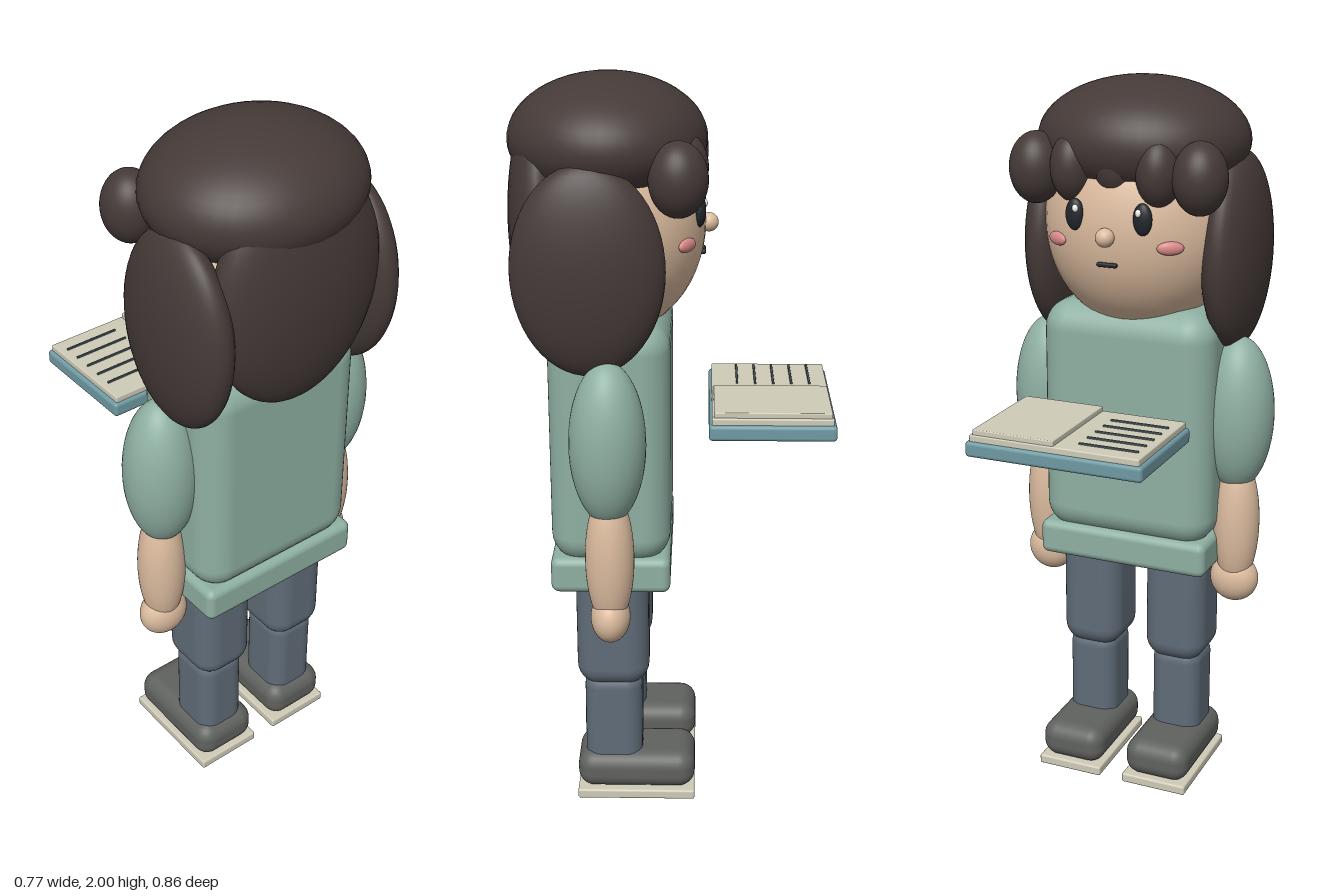
import * as THREE from 'three';
import { RoundedBoxGeometry } from 'three/addons/geometries/RoundedBoxGeometry.js';

const mat = (color) => new THREE.MeshStandardMaterial({ color });
const M = {
  hair: mat(0x453a38), skin: mat(0xdcbc9f), shirt: mat(0x8fb0a3), trousers: mat(0x606c78),
  shoe: mat(0x60625f), paper: mat(0xd0cbb8), cover: mat(0x6f9aa3), dark: mat(0x22262c),
  white: mat(0xf4f4f0), cheek: mat(0xd98a88), ink: mat(0x4a5a60),
};

export function createModel() {
  const model = new THREE.Group();
  model.name = 'girlWithBook';

  const add = (name, geometry, material, pos) => {
    const mesh = new THREE.Mesh(geometry, material);
    mesh.name = name;
    mesh.position.set(...pos);
    model.add(mesh);
    return mesh;
  };
  // Ellipsoid from centre and radii
  const ball = (name, material, pos, radii) => {
    const mesh = add(name, new THREE.SphereGeometry(1, 40, 28), material, pos);
    mesh.scale.set(...radii);
    return mesh;
  };
  // Rounded block from x, y and z ranges
  const block = (name, material, [x0, x1], [y0, y1], [z0, z1], r) =>
    add(name, new RoundedBoxGeometry(x1 - x0, y1 - y0, z1 - z0, 4, r), material,
      [(x0 + x1) / 2, (y0 + y1) / 2, (z0 + z1) / 2]);

  // Body
  block('torso', M.shirt, [-0.25, 0.25], [0.73, 1.4], [0, 0.32], 0.08);
  block('shirtHem', M.shirt, [-0.25, 0.25], [0.655, 0.755], [0, 0.32], 0.022);

  // Head and face, looking towards -z
  ball('head', M.skin, [0, 1.62, 0.16], [0.27, 0.3, 0.25]);
  ball('nose', M.skin, [0, 1.615, -0.097], [0.025, 0.025, 0.025]);
  block('mouth', M.dark, [-0.028, 0.028], [1.535, 1.547], [-0.09, -0.07], 0.005);

  // Hair
  ball('hairCap', M.hair, [0, 1.835, 0.165], [0.29, 0.165, 0.258]);
  ball('backHair', M.hair, [0, 1.63, 0.33], [0.25, 0.32, 0.095]);
  ball('middleFringe', M.hair, [0, 1.79, -0.02], [0.06, 0.085, 0.062]);

  // Paired parts
  for (const s of [-1, 1]) {
    const side = s > 0 ? 'left' : 'right';
    const span = (a, b) => (s > 0 ? [a, b] : [-b, -a]);

    ball(side + 'SideHair', M.hair, [s * 0.257, 1.545, 0.205], [0.079, 0.27, 0.195]);
    ball(side + 'OuterFringe', M.hair, [s * 0.23, 1.77, -0.02], [0.072, 0.095, 0.075]);
    ball(side + 'InnerFringe', M.hair, [s * 0.12, 1.78, -0.025], [0.06, 0.092, 0.07]);

    ball(side + 'Eye', M.dark, [s * 0.095, 1.665, -0.073], [0.026, 0.042, 0.016]);
    ball(side + 'EyeGlint', M.white, [s * 0.088, 1.683, -0.087], [0.008, 0.01, 0.006]);
    const cheek = ball(side + 'Cheek', M.cheek, [s * 0.16, 1.59, -0.042], [0.036, 0.018, 0.012]);
    cheek.rotation.y = s * -0.55;

    ball(side + 'Sleeve', M.shirt, [s * 0.285, 1.1, 0.16], [0.101, 0.22, 0.1]);
    ball(side + 'Forearm', M.skin, [s * 0.29, 0.78, 0.158], [0.065, 0.2, 0.065]);
    ball(side + 'Hand', M.skin, [s * 0.288, 0.61, 0.158], [0.07, 0.07, 0.053]);

    block(side + 'UpperLeg', M.trousers, span(0.04, 0.22), [0.345, 0.72], [0.06, 0.26], 0.06);
    block(side + 'LowerLeg', M.trousers, span(0.06, 0.205), [0.08, 0.38], [0.08, 0.24], 0.045);
    block(side + 'Shoe', M.shoe, span(0.037, 0.228), [0.025, 0.135], [-0.068, 0.262], 0.045);
    block(side + 'Sole', M.paper, span(0.035, 0.23), [0, 0.028], [-0.068, 0.262], 0.006);
  }

  // Open book floating in front of the chest
  block('bookCover', M.cover, [-0.245, 0.245], [1.093, 1.135], [-0.432, -0.1], 0.01);
  block('bookPages', M.paper, [-0.235, 0.235], [1.13, 1.152], [-0.424, -0.108], 0.004);
  block('raisedPage', M.paper, [0, 0.227], [1.148, 1.166], [-0.42, -0.113], 0.003);
  for (let i = 0; i < 5; i++) {
    const z = -0.376 + i * 0.0495;
    block('textLine', M.ink, [-0.215, -0.052], [1.148, 1.157], [z - 0.003, z + 0.003], 0.002);
  }
  return model;
}
